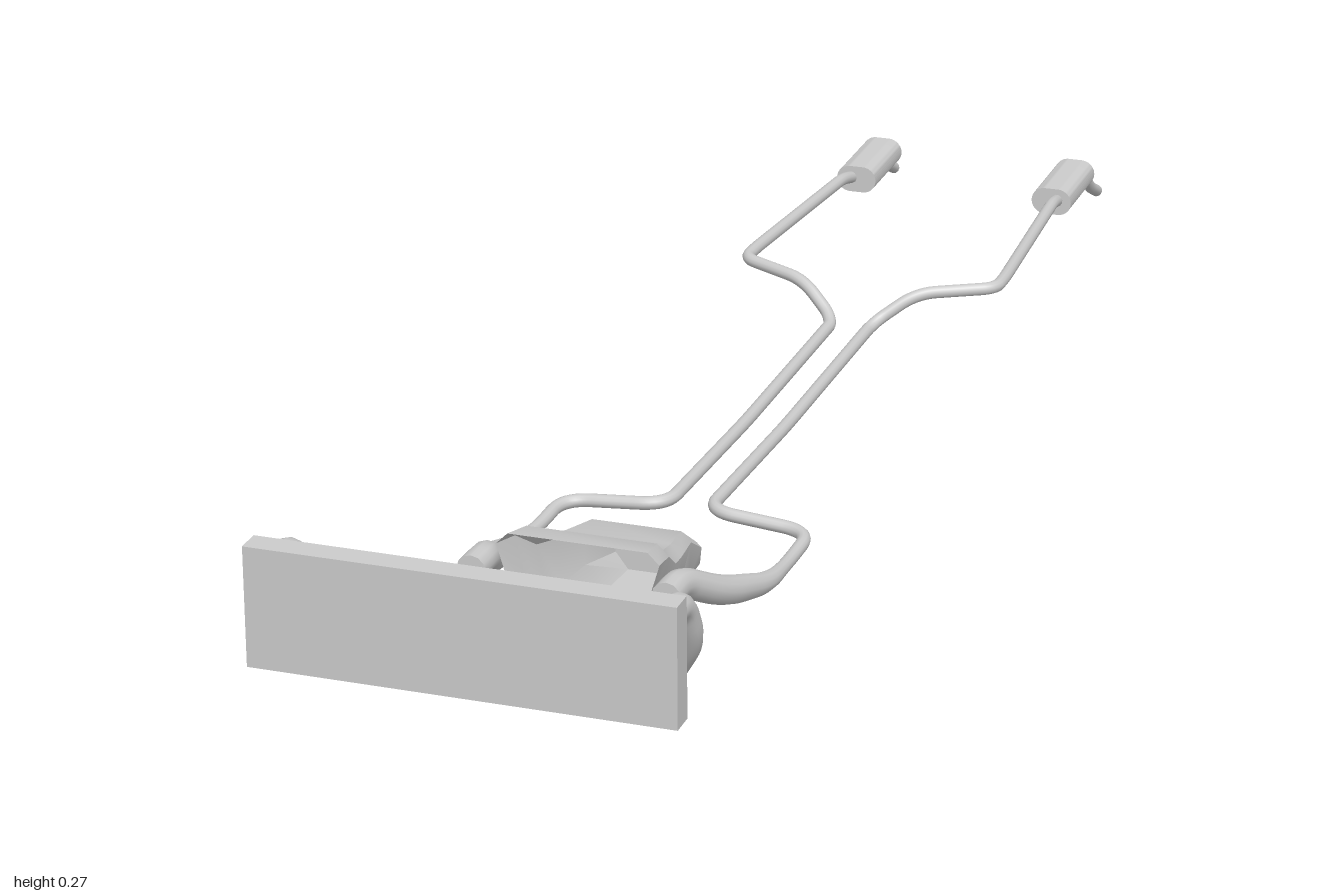
import * as THREE from 'three';
import { toCreasedNormals } from 'three/addons/utils/BufferGeometryUtils.js';

const grey = new THREE.MeshStandardMaterial({ color: 0xcccccc });
const greyThin = new THREE.MeshStandardMaterial({ color: 0xcccccc, side: THREE.DoubleSide });

function addMesh(parent, name, geometry, material = grey) {
  const mesh = new THREE.Mesh(geometry, material);
  mesh.name = name;
  parent.add(mesh);
  return mesh;
}

// Straight runs joined by rounded bends
function bentPath(points, bend) {
  const p = points.map((a) => new THREE.Vector3(...a));
  const path = new THREE.CurvePath();
  let from = p[0];
  for (let i = 1; i < p.length - 1; i++) {
    const back = p[i - 1].clone().sub(p[i]);
    const ahead = p[i + 1].clone().sub(p[i]);
    const d = Math.min(bend, back.length() * 0.45, ahead.length() * 0.45);
    const a = p[i].clone().add(back.setLength(d));
    const b = p[i].clone().add(ahead.setLength(d));
    path.add(new THREE.LineCurve3(from, a));
    path.add(new THREE.QuadraticBezierCurve3(a, p[i], b));
    from = b;
  }
  path.add(new THREE.LineCurve3(from, p[p.length - 1]));
  return path;
}

// Capped round pipe whose radius is a function of z
function addPipe(parent, name, points, bend, segments, radiusAt) {
  const group = new THREE.Group();
  group.name = name;
  const sides = 12;
  const path = bentPath(points, bend);
  const tube = new THREE.TubeGeometry(path, segments, 1, sides, false);
  const pos = tube.attributes.position;
  const v = new THREE.Vector3();
  for (let i = 0; i <= segments; i++) {
    const c = path.getPointAt(i / segments);
    for (let j = 0; j <= sides; j++) {
      const k = i * (sides + 1) + j;
      v.fromBufferAttribute(pos, k).sub(c).multiplyScalar(radiusAt(c.z)).add(c);
      pos.setXYZ(k, v.x, v.y, v.z);
    }
  }
  addMesh(group, name + 'Tube', tube);
  for (const u of [0, 1]) {
    const c = path.getPointAt(u);
    const out = path.getTangentAt(u).multiplyScalar(u ? 1 : -1);
    const cap = addMesh(group, name + 'End', new THREE.CircleGeometry(radiusAt(c.z), sides));
    cap.position.copy(c);
    cap.quaternion.setFromUnitVectors(new THREE.Vector3(0, 0, 1), out);
  }
  parent.add(group);
}

// Gearbox housing lofted from eight-sided sections, open at the front
function housingGeometry() {
  // z, bottom y, middle y, top y, bottom / middle / top half widths
  const sections = [
    [0.65, 0.06, 0.085, 0.165, 0.058, 0.075, 0.095],
    [0.605, 0.052, 0.078, 0.156, 0.056, 0.075, 0.09],
    [0.56, 0.015, 0.05, 0.128, 0.045, 0.07, 0.082],
    [0.52, 0.015, 0.05, 0.117, 0.044, 0.068, 0.075],
    [0.46, 0.015, 0.048, 0.106, 0.042, 0.062, 0.065],
    [0.39, 0.016, 0.036, 0.062, 0.036, 0.051, 0.053],
  ];
  const verts = [];
  const index = [];
  for (const [z, yb, ym, yt, wb, wm, wt] of sections) {
    const c = (yt - yb) * 0.13;
    const half = [[wb, yb], [wm, ym], [wt, yt - c], [wt - c, yt]];
    for (const [x, y] of half) verts.push(x, y, z);
    for (const [x, y] of half.reverse()) verts.push(-x, y, z);
  }
  for (let s = 0; s < sections.length - 1; s++) {
    for (let j = 0; j < 8; j++) {
      const a = s * 8 + j;
      const b = s * 8 + ((j + 1) % 8);
      index.push(a, b + 8, b, a, a + 8, b + 8);
    }
  }
  const last = (sections.length - 1) * 8;
  for (let j = 1; j < 7; j++) index.push(last, last + j + 1, last + j);
  const g = new THREE.BufferGeometry();
  g.setAttribute('position', new THREE.Float32BufferAttribute(verts, 3));
  g.setIndex(index);
  return toCreasedNormals(g, 0.5);
}

// Flattened oval silencer can along z
function mufflerGeometry() {
  const r = 0.018, w = 0.009, length = 0.12;
  const shape = new THREE.Shape();
  shape.moveTo(-w, -r);
  shape.lineTo(w, -r);
  shape.absarc(w, 0, r, -Math.PI / 2, Math.PI / 2, false);
  shape.lineTo(-w, r);
  shape.absarc(-w, 0, r, Math.PI / 2, Math.PI * 1.5, false);
  const g = new THREE.ExtrudeGeometry(shape, { depth: length, bevelEnabled: false, curveSegments: 10 });
  g.translate(0, 0, -length / 2);
  return toCreasedNormals(g, 0.6);
}

export function createModel() {
  const model = new THREE.Group();
  model.name = 'coolingAndExhaustSystem';

  // Radiator panel
  addMesh(model, 'radiator', new THREE.BoxGeometry(0.477, 0.138, 0.03)).position.set(0, 0.208, 0.985);

  addMesh(model, 'gearboxHousing', housingGeometry(), greyThin);

  // Wide manifold narrowing into a slim exhaust pipe
  const exhaustRadius = (z) => 0.008 + 0.009 * THREE.MathUtils.smoothstep(z, 0.38, 0.56);

  for (const [side, s] of [['left', 1], ['right', -1]]) {
    const mirror = (pts) => pts.map(([x, y, z]) => [s * x, y, z]);

    addPipe(model, side + 'CoolantHose', mirror([
      [0.216, 0.25, 0.97], [0.216, 0.246, 0.925], [0.216, 0.19, 0.892],
      [0.17, 0.115, 0.855], [0.145, 0.103, 0.846], [0.08, 0.085, 0.844],
    ]), 0.03, 50, () => 0.016);

    addPipe(model, side + 'ExhaustPipe', mirror([
      [0.113, 0.13, 0.68], [0.113, 0.129, 0.635], [0.137, 0.09, 0.565],
      [0.155, 0.057, 0.46], [0.152, 0.046, 0.38], [0.152, 0.047, 0.292],
      [0.025, 0.056, 0.288], [0.025, 0.045, 0], [0.025, 0.044, -0.335],
      [0.034, 0.052, -0.352], [0.075, 0.082, -0.378], [0.167, 0.085, -0.42],
      [0.167, 0.084, -0.46], [0.146, 0.075, -0.765], [0.143, 0.066, -0.8],
    ]), 0.035, 300, exhaustRadius);

    addMesh(model, side + 'Muffler', mufflerGeometry()).position.set(s * 0.136, 0.065, -0.855);

    addPipe(model, side + 'Tailpipe', mirror([
      [0.145, 0.06, -0.91], [0.145, 0.057, -0.93], [0.145, 0.03, -0.958], [0.145, 0.01, -0.998],
    ]), 0.02, 24, () => 0.008);
  }
  return model;
}
